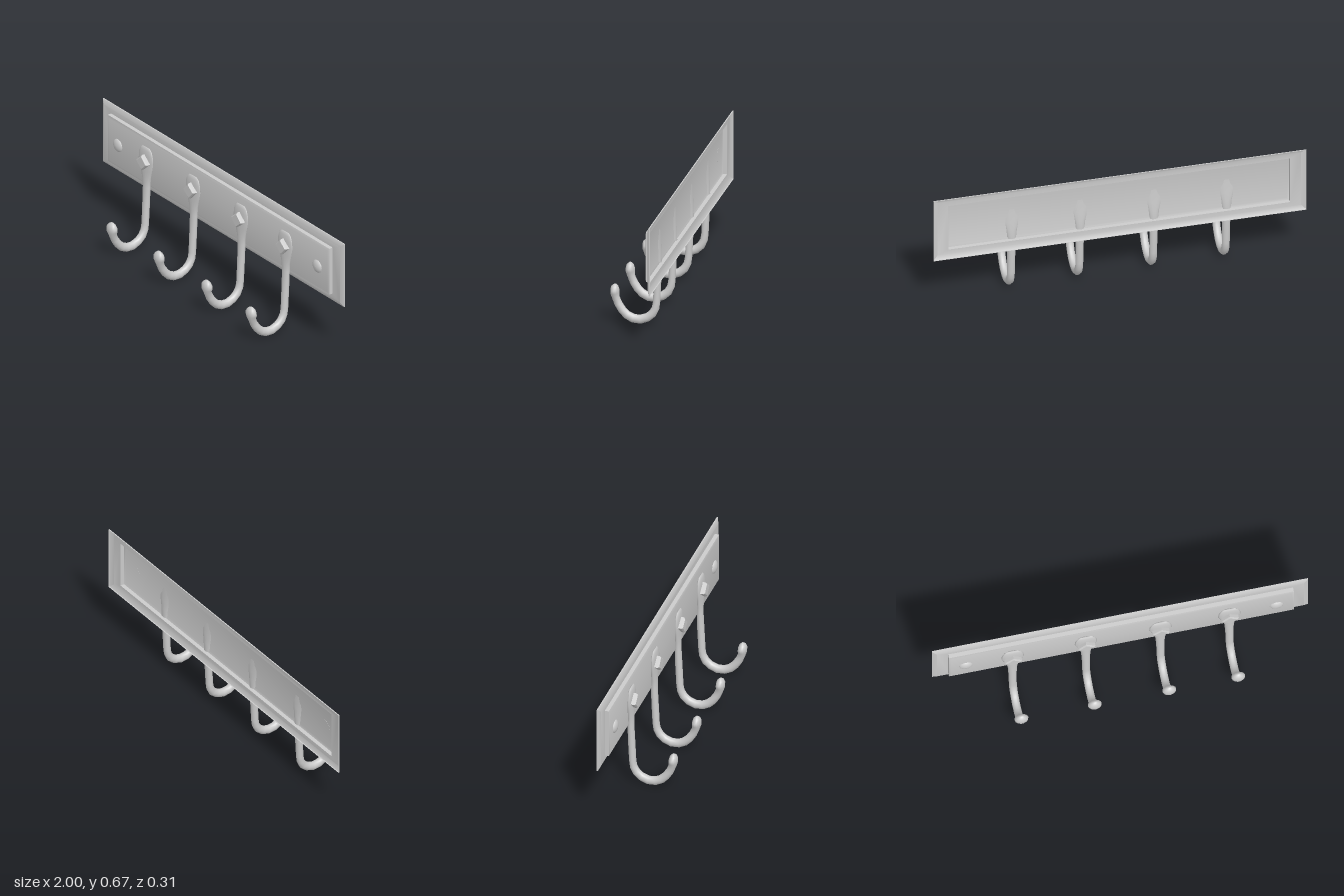
import * as THREE from 'three';
import { toCreasedNormals } from 'three/addons/utils/BufferGeometryUtils.js';

const grey = new THREE.MeshStandardMaterial({ color: 0xcccccc });
const greyFlat = new THREE.MeshStandardMaterial({ color: 0xcccccc, flatShading: true });
const greyDouble = new THREE.MeshStandardMaterial({ color: 0xcccccc, side: THREE.DoubleSide });

// Skin through rings of points, each ring counter-clockwise around the direction of travel
function loft(rings, capStart, capEnd) {
  const n = rings[0].length, last = rings.length - 1, index = [];
  const pts = rings.flat();
  for (let i = 0; i < last; i++) {
    for (let j = 0; j < n; j++) {
      const a = i * n + j, b = i * n + (j + 1) % n;
      index.push(a, b, b + n, a, b + n, a + n);
    }
  }
  const cap = (i, flip) => {
    const centre = new THREE.Vector3();
    rings[i].forEach((p) => centre.addScaledVector(p, 1 / n));
    const c = pts.push(centre) - 1;
    for (let j = 0; j < n; j++) {
      const a = i * n + j, b = i * n + (j + 1) % n;
      index.push(c, flip ? b : a, flip ? a : b);
    }
  };
  if (capStart) cap(0, true);
  if (capEnd) cap(last, false);
  const geo = new THREE.BufferGeometry().setFromPoints(pts);
  geo.setIndex(index);
  geo.computeVertexNormals();
  return geo;
}

// Hollow board: half width, bottom, top, z
function boardGeometry() {
  const steps = [
    [1, 0.3, 0.675, -0.151], [1, 0.3, 0.675, -0.145],
    [0.976, 0.323, 0.652, -0.134], [0.917, 0.35, 0.624, -0.134],
    [0.917, 0.35, 0.624, -0.112], [0.905, 0.362, 0.61, -0.107],
  ];
  const rings = steps.map(([w, y0, y1, z]) =>
    [[-w, y0], [w, y0], [w, y1], [-w, y1]].map(([x, y]) => new THREE.Vector3(x, y, z)));
  return toCreasedNormals(loft(rings, false, true), 0.6);
}

// Hook from its flat head down the shank, round the bend to the knob
function hookGeometry() {
  // z, y, half width, half thickness
  const path = [
    [-0.098, 0.581, 0.03, 0.005], [-0.097, 0.567, 0.046, 0.009],
    [-0.096, 0.54, 0.057, 0.011], [-0.096, 0.5, 0.06, 0.012],
    [-0.098, 0.45, 0.047, 0.014], [-0.1, 0.4, 0.031, 0.016],
    [-0.101, 0.35, 0.025, 0.0175], [-0.097, 0.25, 0.022, 0.019],
    [-0.091, 0.13, 0.021, 0.019], [-0.086, 0.096, 0.021, 0.02],
    [-0.07, 0.064, 0.021, 0.022], [-0.043, 0.041, 0.021, 0.023],
    [-0.005, 0.027, 0.021, 0.024], [0.034, 0.03, 0.021, 0.024],
    [0.066, 0.046, 0.021, 0.023], [0.091, 0.071, 0.021, 0.022],
    [0.1125, 0.104, 0.021, 0.021], [0.127, 0.14, 0.022, 0.02],
    [0.131, 0.164, 0.036, 0.024], [0.132, 0.182, 0.037, 0.023],
    [0.132, 0.2, 0.025, 0.018], [0.131, 0.211, 0.01, 0.006],
  ];
  const sides = 14;
  const rings = path.map(([z, y, w, d], i) => {
    const p = path[Math.max(i - 1, 0)], q = path[Math.min(i + 1, path.length - 1)];
    const len = Math.hypot(q[0] - p[0], q[1] - p[1]);
    const tz = (q[0] - p[0]) / len, ty = (q[1] - p[1]) / len;
    return Array.from({ length: sides }, (_, j) => {
      const a = (j / sides) * Math.PI * 2, s = Math.sin(a) * d;
      return new THREE.Vector3(Math.cos(a) * w, y + tz * s, z - ty * s);
    });
  });
  return loft(rings, true, true);
}

// Turned part whose axis points forward
function turned(profile, sides) {
  const geo = new THREE.LatheGeometry(profile.map(([r, h]) => new THREE.Vector2(r, h)), sides);
  return geo.rotateX(Math.PI / 2);
}

export function createModel() {
  const model = new THREE.Group();
  model.name = 'coatRack';
  const add = (parent, name, geo, mat, x = 0, y = 0, z = 0) => {
    const mesh = new THREE.Mesh(geo, mat);
    mesh.name = name;
    mesh.position.set(x, y, z);
    parent.add(mesh);
    return mesh;
  };

  add(model, 'board', boardGeometry(), greyDouble);

  // Four hooks, each held by a square bolt set on its corner
  const hook = hookGeometry();
  const bolt = turned([[0.045, 0], [0.045, 0.023], [0.037, 0.03], [0, 0.03]], 4);
  const turns = [0, 0.08, -0.05, 0.06];
  [-0.582, -0.192, 0.204, 0.571].forEach((x, i) => {
    const group = new THREE.Group();
    group.name = 'hook' + (i + 1);
    group.position.x = x;
    add(group, 'hookBody', hook, grey);
    add(group, 'bolt', bolt, greyFlat, 0, 0.5, -0.0925).rotation.z = turns[i];
    model.add(group);
  });

  // Domed wall screws at both ends
  const screw = turned([[0.037, 0], [0.034, 0.006], [0.024, 0.012], [0.012, 0.015], [0, 0.016]], 20);
  add(model, 'rightScrew', screw, grey, -0.828, 0.482, -0.108);
  add(model, 'leftScrew', screw, grey, 0.824, 0.482, -0.108);
  return model;
}
